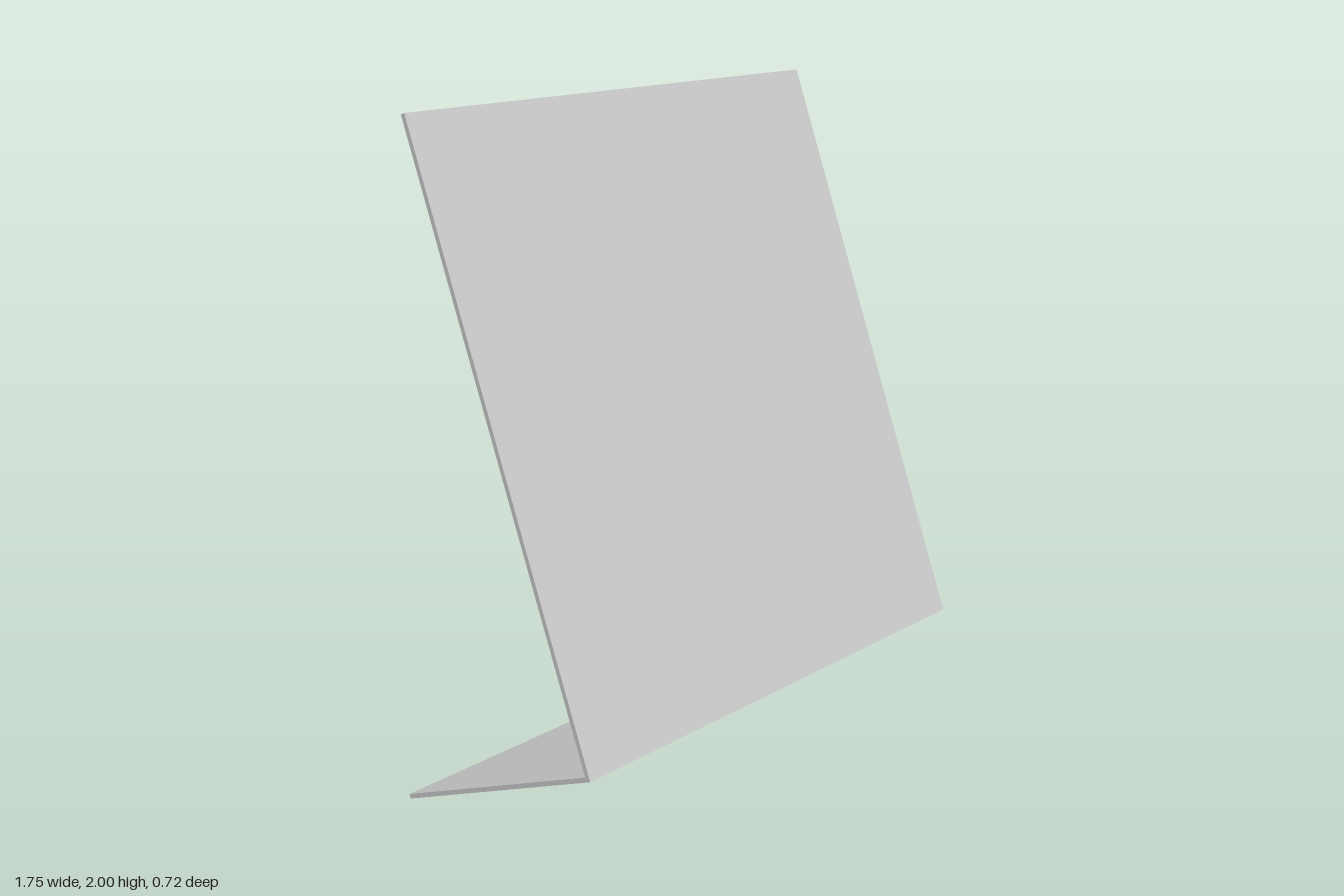
import * as THREE from 'three';

const WIDTH = 1.75;
const THICKNESS = 0.014;
const PANEL_HEIGHT = 1.853;
const FOOT_DEPTH = 0.757;
const TILT = THREE.MathUtils.degToRad(20);

export function createModel() {
  const model = new THREE.Group();
  const material = new THREE.MeshStandardMaterial({ color: 0xcccccc });

  // Right-angled bent sheet, its origin at the outer front corner
  const sheet = new THREE.Group();
  sheet.name = 'bentSheet';

  const addPlate = (name, height, depth, y, z) => {
    const mesh = new THREE.Mesh(new THREE.BoxGeometry(WIDTH, height, depth), material);
    mesh.name = name;
    mesh.position.set(0, y, z);
    sheet.add(mesh);
  };

  // Tall front panel
  addPlate('frontPanel', PANEL_HEIGHT, THICKNESS, PANEL_HEIGHT / 2, -THICKNESS / 2);
  // Foot plate running back from the panel's lower edge
  addPlate('footPlate', THICKNESS, FOOT_DEPTH - THICKNESS, THICKNESS / 2, -(FOOT_DEPTH + THICKNESS) / 2);

  // Lean the whole sheet back so it rests on the rear edge of the foot
  sheet.rotation.x = -TILT;
  sheet.position.set(0, FOOT_DEPTH * Math.sin(TILT), 0.358);
  model.add(sheet);
  return model;
}
